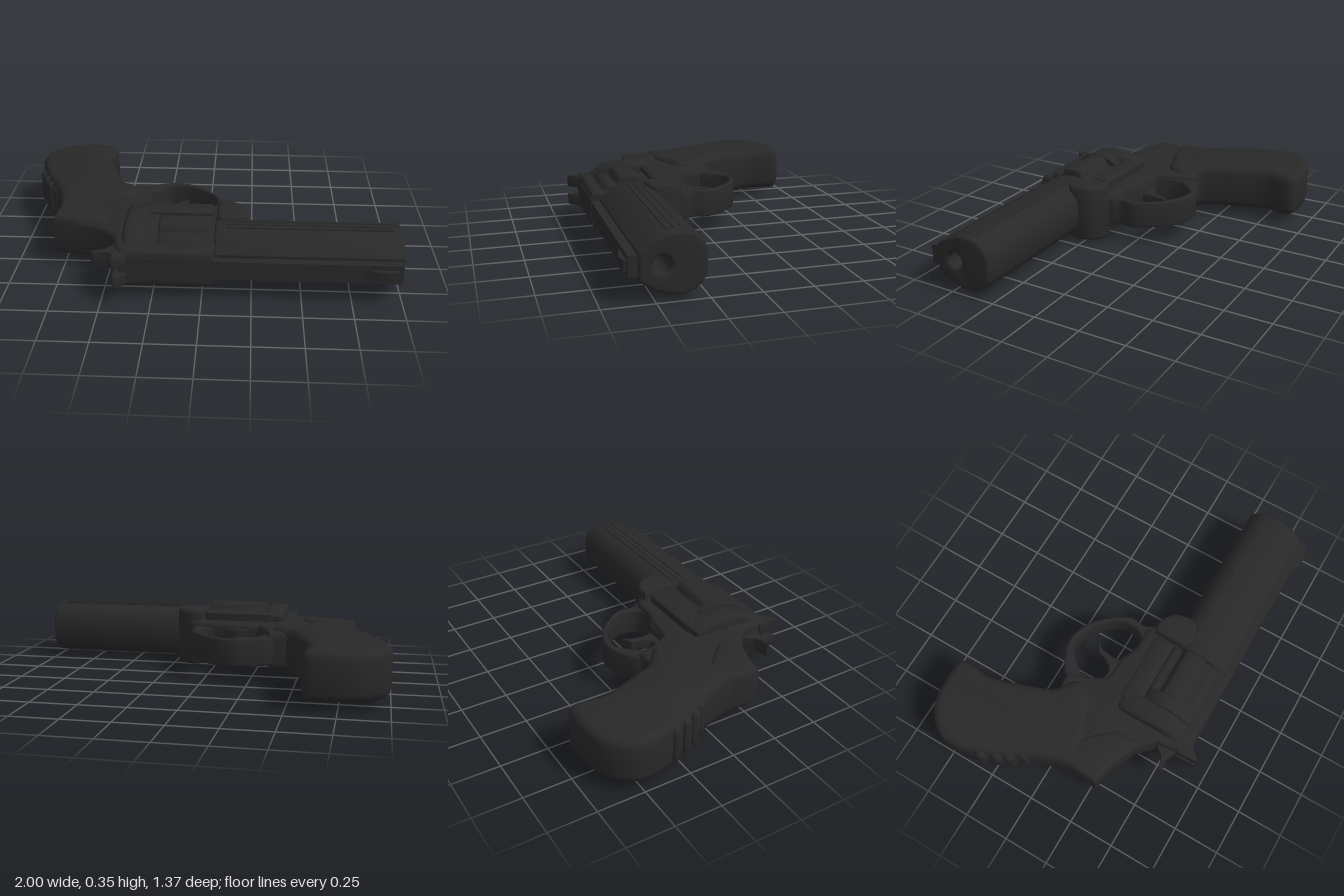
import * as THREE from 'three';
import { toCreasedNormals } from 'three/addons/utils/BufferGeometryUtils.js';

const MID = 0.185; // height of the plane of symmetry

export function createModel() {
  const group = new THREE.Group();
  const gunmetal = new THREE.MeshStandardMaterial({ color: 0x282828 });
  gunmetal.name = 'gunmetal';

  const add = (name, geo, crease = 0.6) => {
    const mesh = new THREE.Mesh(toCreasedNormals(geo, crease), gunmetal);
    mesh.name = name;
    group.add(mesh);
    return mesh;
  };
  const vecs = (pts) => pts.map(([a, b]) => new THREE.Vector2(a, b));
  const smooth = (pts, n) => new THREE.SplineCurve(vecs([...pts, pts[0]])).getPoints(n).slice(0, -1);
  const extrude = (shape, depth, bevel) => {
    const geo = new THREE.ExtrudeGeometry(shape, {
      depth: depth - 2 * bevel, bevelEnabled: bevel > 0, bevelSize: bevel,
      bevelThickness: bevel, bevelOffset: -bevel, bevelSegments: 3, curveSegments: 24,
    });
    return geo.translate(0, 0, bevel);
  };
  // Plan outline in (x, z), given a thickness centred on the symmetry plane
  const slab = (name, shape, thick, bevel, y = MID) =>
    add(name, extrude(shape, thick, bevel).translate(0, 0, -thick / 2).rotateX(Math.PI / 2).translate(0, y, 0));
  // Cross-section in (-z, y) swept from x0 to x1
  const along = (name, shape, x0, x1, bevel) =>
    add(name, extrude(shape, x1 - x0, bevel).rotateY(Math.PI / 2).translate(x0, MID, 0));
  // Symmetric section from half-profile points (z, half width)
  const section = (half) => new THREE.Shape(vecs([
    ...half.map(([z, h]) => [-z, h]),
    ...half.slice().reverse().map(([z, h]) => [-z, -h]),
  ]));
  const box = (name, x0, x1, y0, y1, z0, z1) =>
    add(name, new THREE.BoxGeometry(x1 - x0, y1 - y0, z1 - z0)
      .translate((x0 + x1) / 2, (y0 + y1) / 2, (z0 + z1) / 2));

  // Barrel with bore
  const barrel = section([[0.262, 0.06], [0.285, 0.1], [0.32, 0.13], [0.37, 0.146], [0.44, 0.143],
    [0.5, 0.122], [0.55, 0.09], [0.578, 0.065]]);
  barrel.holes.push(new THREE.Path().absarc(-0.47, 0, 0.042, 0, Math.PI * 2, true));
  along('barrel', barrel, 0.06, 1, 0.014);
  box('topRib', 0.04, 0.985, MID - 0.05, MID + 0.05, 0.55, 0.622);
  slab('frontSight', new THREE.Shape(vecs([[0.76, 0.61], [0.97, 0.61], [0.96, 0.637], [0.93, 0.646], [0.87, 0.642]])), 0.05, 0);
  // Raised side ribs of the barrel
  for (const s of [-1, 1]) {
    for (const z of [0.365, 0.4, 0.435])
      box('barrelRib', 0.12, 0.95, MID + s * 0.142 - 0.007, MID + s * 0.142 + 0.007, z - 0.007, z + 0.007);
  }

  // Fluted cylinder
  const fluted = [];
  for (let i = 0; i < 96; i++) {
    const a = (i / 96) * Math.PI * 2;
    const r = 0.176 - 0.026 * Math.max(0, Math.cos(a * 6)) ** 2;
    fluted.push([-0.41 + r * Math.cos(a), r * Math.sin(a)]);
  }
  along('cylinder', new THREE.Shape(vecs(fluted)), -0.22, 0.05, 0.01);
  along('cylinderRear', new THREE.Shape().absarc(-0.41, 0, 0.176, 0, Math.PI * 2), -0.29, -0.22, 0);

  // Frame around the cylinder
  const frame = new THREE.Shape(vecs([[-0.79, 0.285], [-0.785, 0.13], [-0.66, 0.04], [-0.6, -0.1], [-0.45, -0.14],
    [-0.355, -0.15], [-0.32, -0.02], [-0.27, 0.055], [-0.14, 0.07], [-0.05, 0.1], [0.06, 0.1],
    [0.135, 0.145], [0.2, 0.21], [0.2, 0.34], [0.1, 0.4], [0.06, 0.58], [0.05, 0.62], [-0.4, 0.62],
    [-0.435, 0.56], [-0.45, 0.455], [-0.53, 0.375], [-0.69, 0.31]]));
  slab('frame', frame, 0.2, 0.025);
  along('recoilShield', section([[0.18, 0.13], [0.22, 0.155], [0.3, 0.165], [0.4, 0.17], [0.48, 0.16], [0.55, 0.11],
    [0.6, 0.06]]), -0.4, -0.28, 0.03);
  along('lowerFrame', section([[0.17, 0.14], [0.19, 0.152], [0.262, 0.152], [0.28, 0.14]]), -0.34, 0.05, 0.015);
  slab('crane', new THREE.Shape(smooth([[0.07, 0.15], [0.13, 0.145], [0.205, 0.2], [0.22, 0.31], [0.16, 0.345], [0.07, 0.33]], 24)),
    0.315, 0.02);
  box('topStrap', -0.41, 0.06, MID - 0.06, MID + 0.06, 0.56, 0.624);

  // Grip with rounded sides
  const grip = smooth([[-0.785, 0.14], [-0.8, 0.05], [-0.85, -0.08], [-0.93, -0.24], [-0.985, -0.38], [-1, -0.46],
    [-0.985, -0.55], [-0.91, -0.635], [-0.8, -0.68], [-0.63, -0.685], [-0.58, -0.655], [-0.58, -0.58], [-0.59, -0.49],
    [-0.54, -0.33], [-0.48, -0.17], [-0.42, -0.12], [-0.365, -0.06], [-0.4, 0.03], [-0.53, 0.08], [-0.66, 0.13]], 80);
  slab('grip', new THREE.Shape(grip), 0.25, 0.045);
  slab('backstrap', new THREE.Shape(vecs([[-0.795, 0.285], [-0.785, 0.1], [-0.7, 0.05], [-0.6, 0.13], [-0.5, 0.24],
    [-0.5, 0.37], [-0.6, 0.335], [-0.69, 0.31]])), 0.225, 0.03);
  // Finger ridges on the back of the grip
  for (const [x, z] of [[-0.958, -0.31], [-0.925, -0.235], [-0.895, -0.17], [-0.85, -0.11]]) {
    add('gripRidge', new THREE.CapsuleGeometry(0.028, 0.14, 4, 10).rotateX(Math.PI / 2)
      .rotateX(Math.PI / 2).translate(x, MID, z));
  }

  // Trigger guard
  const guard = new THREE.Shape(smooth([[-0.4, -0.13], [-0.33, -0.185], [-0.195, -0.238], [-0.06, -0.2], [0.04, -0.1],
    [0.092, -0.01], [0.085, 0.07], [0.1, 0.14], [-0.1, 0.14], [-0.34, 0.09], [-0.4, 0]], 66));
  guard.holes.push(new THREE.Path(smooth([[-0.32, -0.09], [-0.24, -0.185], [-0.19, -0.205], [-0.1, -0.188], [0.012, -0.105],
    [0.055, -0.015], [0.03, 0.08], [-0.05, 0.1], [-0.14, 0.06], [-0.26, 0.055], [-0.31, -0.01]], 66)));
  slab('triggerGuard', guard, 0.15, 0.01);

  // Trigger
  slab('trigger', new THREE.Shape(vecs([[-0.27, 0.07], [-0.25, 0.035], [-0.2, 0.02], [-0.17, -0.03], [-0.16, -0.075],
    [-0.105, -0.105], [-0.135, -0.06], [-0.145, 0], [-0.14, 0.08]])), 0.06, 0.006);

  // Hammer with spur
  slab('hammer', new THREE.Shape(vecs([[-0.4, 0.4], [-0.45, 0.45], [-0.49, 0.505], [-0.56, 0.53], [-0.55, 0.542],
    [-0.48, 0.538], [-0.44, 0.56], [-0.4, 0.56]])), 0.09, 0.005);

  // Notched rear sight
  for (const s of [-1, 1]) {
    slab('rearSight', new THREE.Shape(vecs([[-0.44, 0.57], [-0.435, 0.678], [-0.42, 0.678], [-0.37, 0.625], [-0.3, 0.62],
      [-0.3, 0.57]])), 0.065, 0.005, MID + s * 0.053);
  }
  return group;
}
